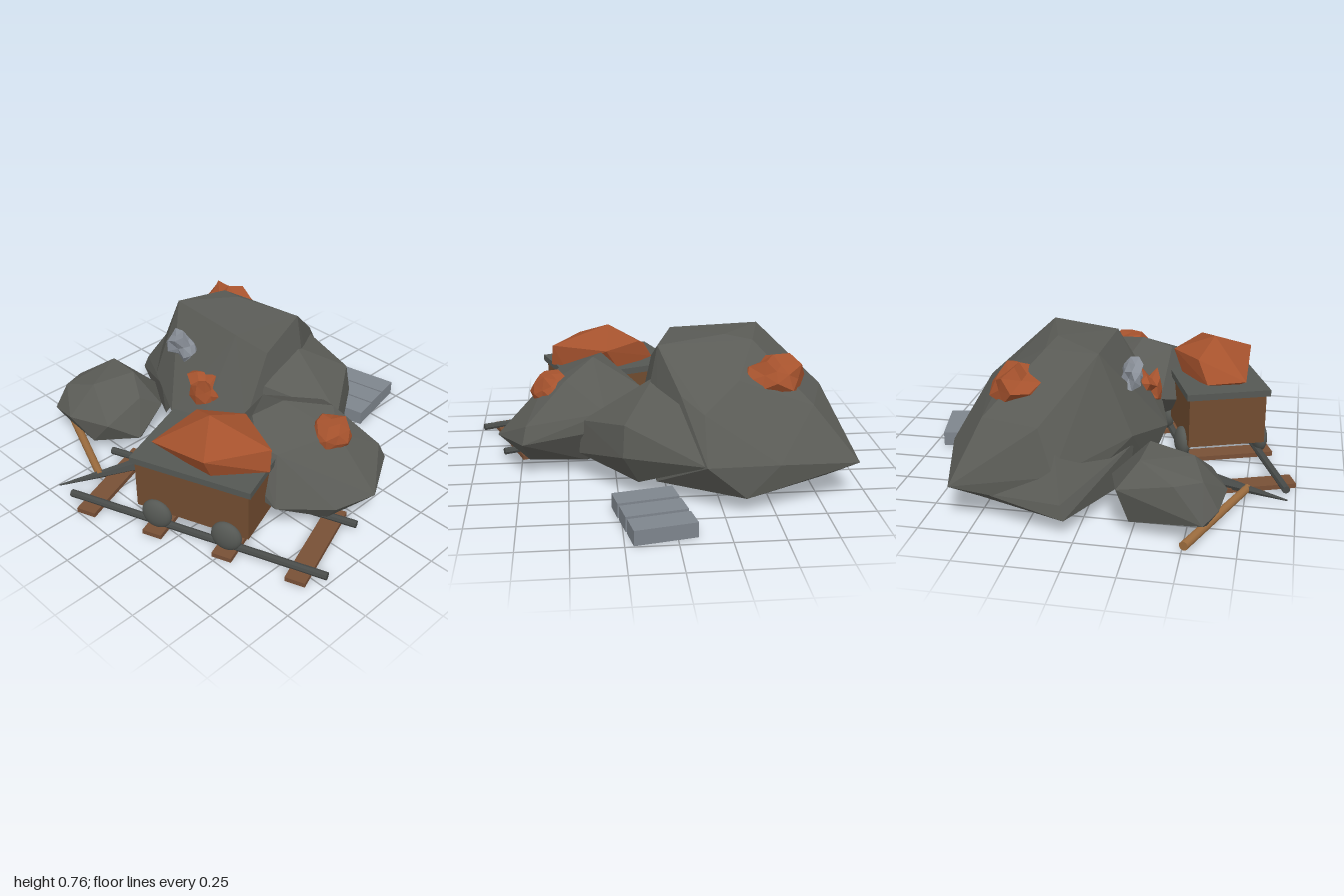
import * as THREE from 'three';
import { ConvexGeometry } from 'three/addons/geometries/ConvexGeometry.js';

const mat = (name, color, flatShading = true) => {
  const m = new THREE.MeshStandardMaterial({ color, flatShading });
  m.name = name;
  return m;
};

export function createModel() {
  const root = new THREE.Group();
  root.name = 'miningSite';

  const stone = mat('stone', 0x5a5b56);
  const ore = mat('copperOre', 0xa5522d);
  const silver = mat('silverOre', 0x8a9099);
  const slate = mat('slateBrick', 0x7e858d);
  const wood = mat('cartWood', 0x714c30);
  const tieWood = mat('tieWood', 0x785036);
  const handleWood = mat('handleWood', 0x9c6c3e, false);
  const iron = mat('iron', 0x484b49);
  const trim = mat('cartIron', 0x555854, false);

  const add = (parent, name, geometry, material, x = 0, y = 0, z = 0) => {
    const mesh = new THREE.Mesh(geometry, material);
    mesh.name = name;
    mesh.position.set(x, y, z);
    parent.add(mesh);
    return mesh;
  };
  const hull = (name, material, pts) =>
    add(root, name, new ConvexGeometry(pts.map((p) => new THREE.Vector3(...p))), material);

  // Boulders
  hull('mainBoulder', stone, [
    [-0.52, 0.755, 0.03], [-0.06, 0.735, 0.04], [0.04, 0.745, -0.32], [-0.31, 0.765, -0.22], [-0.45, 0.74, -0.25],
    [-0.06, 0.35, 0.28], [-0.26, 0.3, 0.335], [-0.54, 0.35, 0.2], [0.05, 0.62, -0.08], [0.095, 0.45, -0.32],
    [0.09, 0.3, 0.12], [-0.82, 0.48, -0.2], [-0.87, 0.26, -0.12], [-0.94, 0.2, -0.61], [-0.35, 0.6, -0.47],
    [-0.055, 0.55, -0.53], [-0.16, 0.48, -0.62], [-0.16, 0.26, -0.75], [-0.52, 0.25, -0.72], [-0.72, 0.47, -0.5],
    [-0.86, 0.09, -0.1], [-0.8, 0.09, -0.5], [-0.355, 0.09, -0.74], [0.06, 0.09, -0.5], [0.09, 0.09, 0.12], [-0.3, 0.09, 0.25],
  ]);
  hull('boulderSpur', stone, [
    [-0.97, 0.09, -0.05], [-0.95, 0.16, -0.07], [-0.82, 0.36, -0.12], [-0.9, 0.16, -0.45], [-0.8, 0.09, -0.5],
    [-0.5, 0.3, 0.2], [-0.5, 0.09, 0.18],
  ]);
  hull('boulderShoulder', stone, [
    [0.06, 0.57, -0.3], [-0.05, 0.51, -0.53], [0.22, 0.41, -0.54], [0.23, 0.25, -0.565], [0.42, 0.33, -0.24],
    [0.44, 0.15, -0.24], [0.15, 0.09, -0.5], [0.3, 0.09, -0.2], [0.08, 0.45, -0.03], [0.05, 0.09, 0.1], [-0.16, 0.26, -0.74],
  ]);
  hull('rightBoulder', stone, [
    [0.3, 0.53, 0.28], [0.35, 0.56, 0.11], [0.5, 0.5, -0.1], [0.3, 0.37, -0.25], [0.71, 0.3, -0.23],
    [0.87, 0.18, -0.015], [0.8, 0.17, 0.2], [0.61, 0.2, 0.43], [0.53, 0.44, 0.34], [0.62, 0.44, 0],
    [0.42, 0.46, 0.37], [0.42, 0.32, 0.43],
    [0.1, 0.42, 0], [0.08, 0.3, 0.25], [0.3, 0.22, 0.44], [0.3, 0.28, -0.26], [0.73, 0.21, -0.265],
    [0.7, 0.07, -0.12], [0.73, 0.07, 0.18], [0.4, 0.07, 0.23], [0.2, 0.07, 0], [0.4, 0.07, -0.15],
  ]);
  hull('smallBoulder', stone, [
    [-0.82, 0.36, 0.28], [-0.62, 0.37, 0.3], [-0.7, 0.35, 0.52], [-0.92, 0.25, 0.185], [-0.92, 0.29, 0.45],
    [-0.66, 0.2, 0.12], [-0.46, 0.2, 0.24], [-0.5, 0.28, 0.36], [-0.42, 0.09, 0.44], [-0.5, 0.2, 0.59],
    [-0.72, 0.2, 0.68], [-0.89, 0.17, 0.655], [-0.87, 0.3, 0.58], [-0.955, 0.12, 0.59], [-0.85, 0.07, 0.6], [-0.6, 0.07, 0.62],
    [-0.45, 0.07, 0.4], [-0.6, 0.07, 0.2], [-0.88, 0.07, 0.24],
  ]);

  // Jagged ore chunks: icosahedra with vertices pushed in and out by a hash of their direction
  const chunk = (name, material, [x, y, z], [sx, sy, sz], rough, seed) => {
    const g = new THREE.IcosahedronGeometry(1, 1);
    const p = g.attributes.position;
    const v = new THREE.Vector3();
    for (let i = 0; i < p.count; i++) {
      v.fromBufferAttribute(p, i);
      const key = Math.round(v.x * 50) * 12.99 + Math.round(v.y * 50) * 78.23 + Math.round(v.z * 50) * 37.72;
      const h = Math.abs(Math.sin(key + seed) * 43758.5) % 1;
      v.multiplyScalar(1 + rough * (h - 0.6));
      p.setXYZ(i, v.x, v.y, v.z);
    }
    g.scale(sx, sy, sz);
    g.computeVertexNormals();
    return add(root, name, g, material, x, y, z);
  };
  chunk('topOre', ore, [-0.535, 0.585, -0.36], [0.14, 0.115, 0.14], 0.6, 1);
  chunk('frontOre', ore, [-0.12, 0.445, 0.21], [0.115, 0.1, 0.07], 0.8, 4);
  chunk('sideOre', ore, [0.575, 0.415, 0], [0.11, 0.105, 0.12], 0.25, 7);
  chunk('silverOre', silver, [-0.345, 0.595, 0.155], [0.1, 0.085, 0.06], 0.8, 11);

  // Track and cart share one turned frame
  const track = new THREE.Group();
  track.name = 'trackAndCart';
  track.position.set(0.245, 0, 0.52);
  track.rotation.y = 0.35;
  root.add(track);
  for (const s of [-1, 1]) {
    const rail = add(track, 'rail', new THREE.CylinderGeometry(0.02, 0.02, 1.43, 8), iron, 0, 0.036, s * 0.2);
    rail.rotation.z = Math.PI / 2;
  }
  for (let i = 0; i < 4; i++) {
    add(track, 'railTie', new THREE.BoxGeometry(0.105, 0.025, 0.56), tieWood, -0.58 + i * 0.387, 0.0125, 0);
  }

  // Cart tub, rim and flattened round wheels
  add(track, 'cartBody', new THREE.BoxGeometry(0.615, 0.28, 0.415), wood, 0, 0.255, 0);
  add(track, 'cartRim', new THREE.BoxGeometry(0.65, 0.035, 0.45), trim, 0, 0.403, 0);
  for (const sx of [-1, 1]) for (const sz of [-1, 1]) {
    const wheel = add(track, 'wheel', new THREE.SphereGeometry(0.082, 20, 14), trim, sx * 0.193, 0.102, sz * 0.215);
    wheel.scale.z = 0.5;
  }

  // Ore heap in the cart
  hull('oreHeap', ore, [
    [0.25, 0.625, 0.52], [0.08, 0.54, 0.45], [0.27, 0.53, 0.295], [0.57, 0.535, 0.42], [0.41, 0.53, 0.71],
    [0.0, 0.43, 0.51], [0.03, 0.45, 0.71], [0.58, 0.42, 0.44], [0.4, 0.4, 0.65], [0.1, 0.4, 0.65], [0.2, 0.4, 0.36], [0.5, 0.4, 0.4],
  ]);

  // Row of cut bricks behind the boulder
  for (let i = 0; i < 3; i++) {
    const brick = add(root, 'brick', new THREE.BoxGeometry(0.31, 0.077, 0.122), slate,
      0.068 + i * 0.03, 0.042 + i * 0.004, -0.91 + i * 0.134);
    brick.rotation.y = 0.19;
  }

  // Pickaxe lying on the ground
  const rod = (name, material, a, b, ra, rb, sides) => {
    const from = new THREE.Vector3(...a), to = new THREE.Vector3(...b);
    const dir = to.clone().sub(from);
    const mid = from.add(to).multiplyScalar(0.5);
    const mesh = add(root, name, new THREE.CylinderGeometry(rb, ra, dir.length(), sides), material, mid.x, mid.y, mid.z);
    mesh.quaternion.setFromUnitVectors(new THREE.Vector3(0, 1, 0), dir.normalize());
  };
  rod('pickHandle', handleWood, [-0.99, 0.034, 0.51], [-0.37, 0.036, 0.76], 0.023, 0.021, 10);
  rod('pickHead', iron, [-0.3, 0.038, 0.56], [-0.46, 0.032, 0.96], 0.036, 0.004, 6);

  return root;
}
